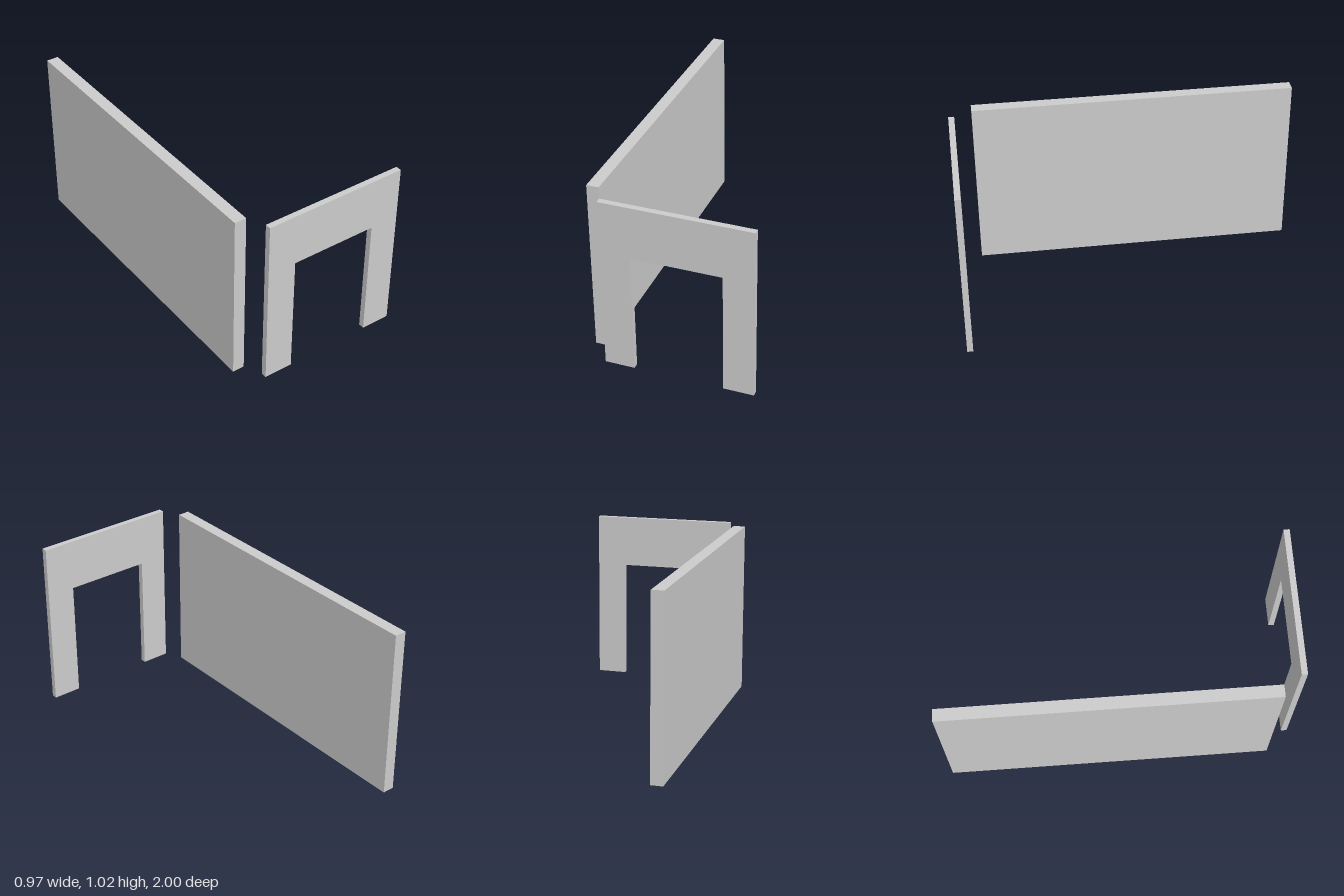
import * as THREE from 'three';

const HEIGHT = 1.016;

export function createModel() {
  const model = new THREE.Group();
  const material = new THREE.MeshStandardMaterial({ color: 0xcccccc, flatShading: true });

  // Long solid wall along the right side
  const wallMinX = -0.484, wallMaxX = -0.414, wallBack = -1, wallFront = 0.867;
  const sideWall = new THREE.Mesh(
    new THREE.BoxGeometry(wallMaxX - wallMinX, HEIGHT, wallFront - wallBack), material);
  sideWall.name = 'sideWall';
  sideWall.position.set((wallMinX + wallMaxX) / 2, HEIGHT / 2, (wallBack + wallFront) / 2);
  model.add(sideWall);

  // Thin front wall with a doorway open at the floor
  const left = -0.366, right = 0.484, doorLeft = -0.196, doorRight = 0.312, doorTop = 0.711;
  const outline = new THREE.Shape([
    [left, 0], [doorLeft, 0], [doorLeft, doorTop], [doorRight, doorTop],
    [doorRight, 0], [right, 0], [right, HEIGHT], [left, HEIGHT],
  ].map(([x, y]) => new THREE.Vector2(x, y)));
  const thickness = 0.034;
  const doorwayWall = new THREE.Mesh(
    new THREE.ExtrudeGeometry(outline, { depth: thickness, bevelEnabled: false }), material);
  doorwayWall.name = 'doorwayWall';
  doorwayWall.position.z = 1 - thickness;
  model.add(doorwayWall);

  return model;
}
